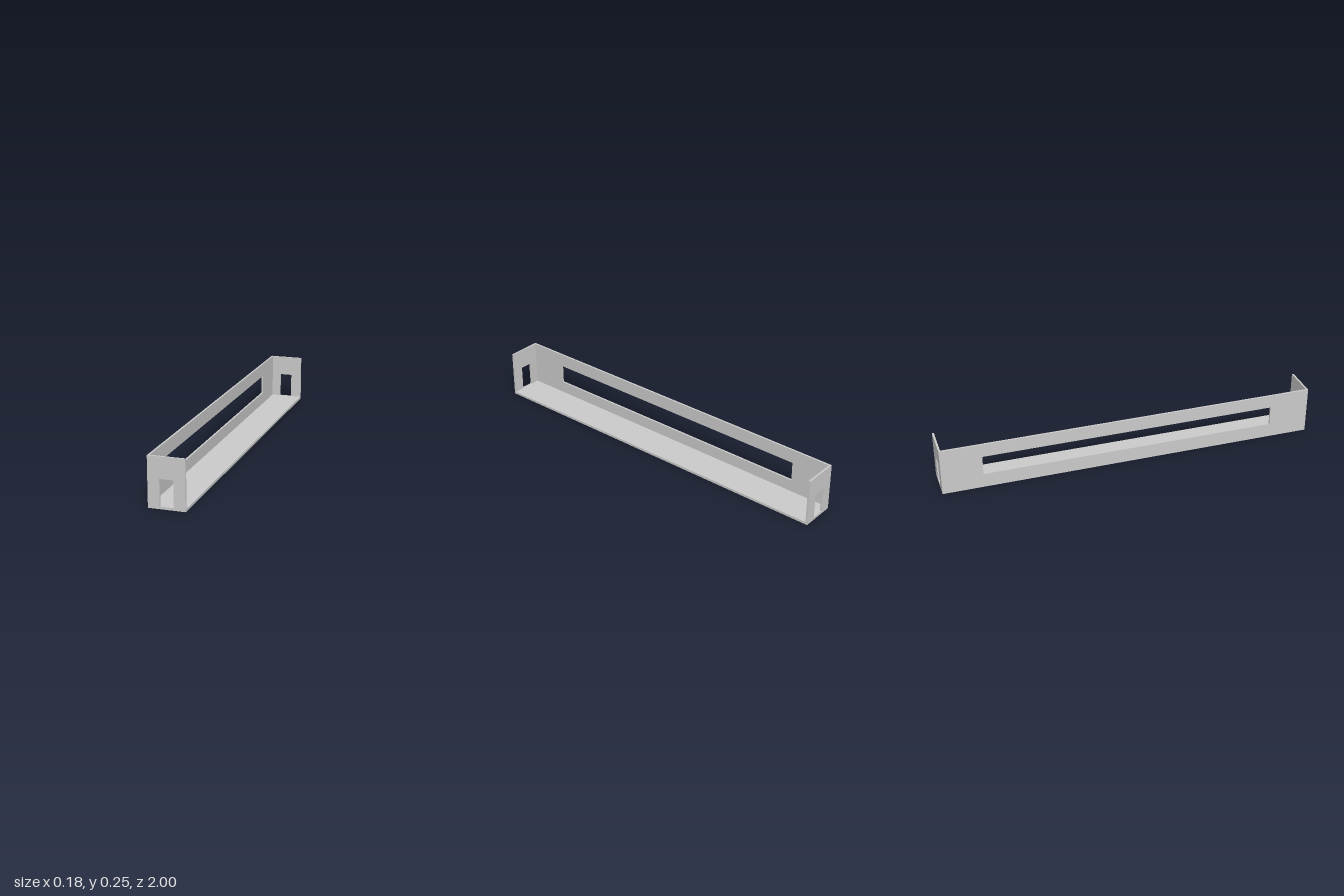
import * as THREE from 'three';

const W = 0.184, H = 0.252, L = 2, FLOOR = 0.013, T = 0.01;

// Upright panel in the XY plane with one rectangular opening, extruded along +z
function panel(width, opening) {
  const rect = (P, x, y0, y1) =>
    new P([[-x, y0], [x, y0], [x, y1], [-x, y1]].map(([a, b]) => new THREE.Vector2(a, b)));
  const { halfWidth: h, bottom, top } = opening;
  let shape;
  if (bottom > FLOOR) {
    shape = rect(THREE.Shape, width / 2, FLOOR, H);
    shape.holes.push(rect(THREE.Path, h, bottom, top));
  } else {
    // doorway open down to the floor
    const w = width / 2;
    shape = new THREE.Shape([[-w, FLOOR], [-h, FLOOR], [-h, top], [h, top], [h, FLOOR], [w, FLOOR], [w, H], [-w, H]]
      .map(([a, b]) => new THREE.Vector2(a, b)));
  }
  return new THREE.ExtrudeGeometry(shape, { depth: T, bevelEnabled: false });
}

export function createModel() {
  const group = new THREE.Group();
  const material = new THREE.MeshStandardMaterial({ color: 0xcccccc });
  const add = (name, geometry) => {
    const mesh = new THREE.Mesh(geometry, material);
    mesh.name = name;
    group.add(mesh);
  };

  // Floor slab
  add('floor', new THREE.BoxGeometry(W, FLOOR, L).translate(0, FLOOR / 2, 0));

  // End walls with doorways
  const door = { halfWidth: 0.034, bottom: FLOOR, top: 0.145 };
  add('frontWall', panel(W, door).translate(0, 0, L / 2 - T));
  add('backWall', panel(W, door).translate(0, 0, -L / 2));

  // Long side wall with a wide window; the opposite side stays open
  const opening = { halfWidth: 0.785, bottom: 0.077, top: 0.18 };
  add('sideWall', panel(L - 2 * T, opening).rotateY(Math.PI / 2).translate(-W / 2, 0, 0));

  return group;
}
